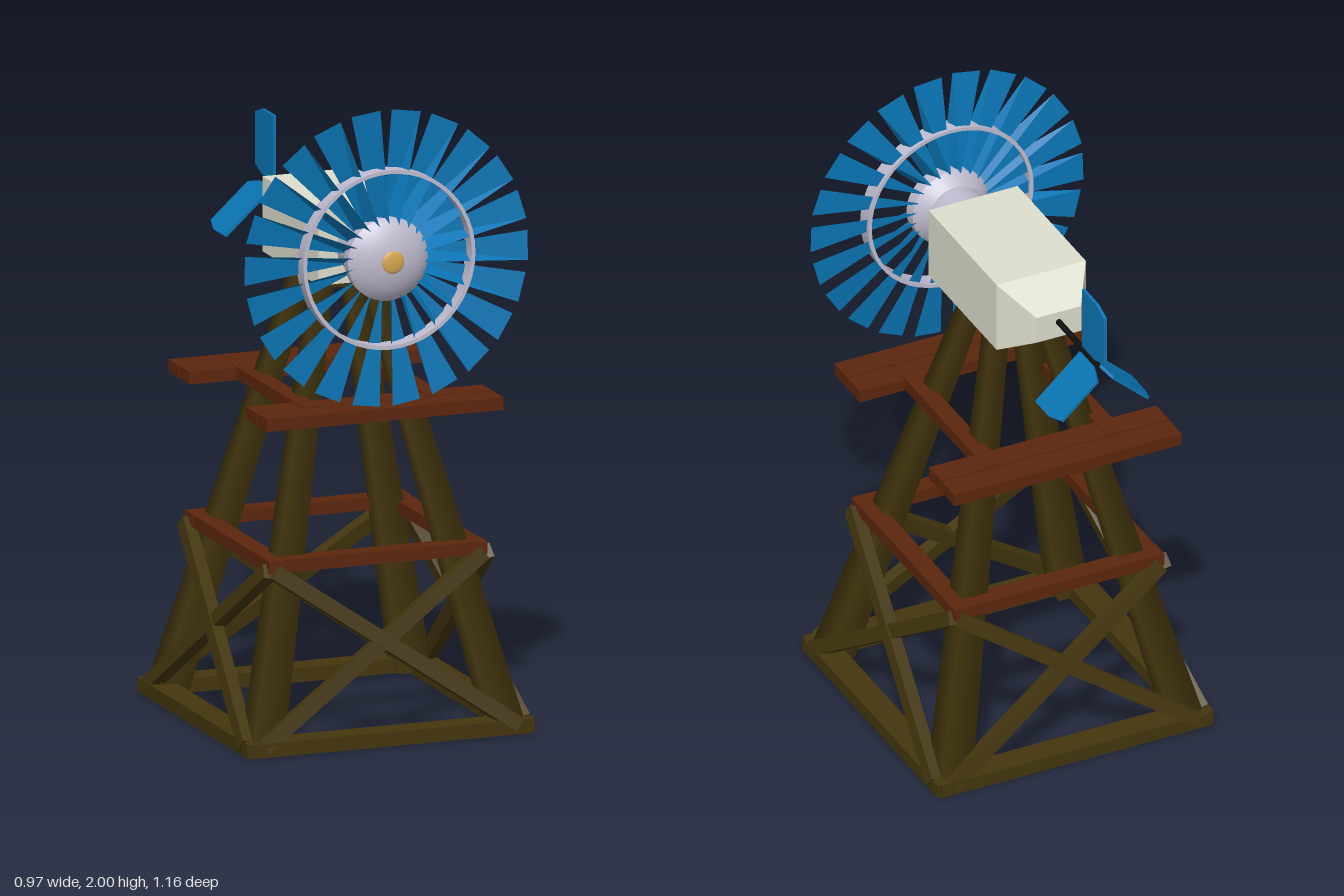
import * as THREE from 'three';
import { toCreasedNormals } from 'three/addons/utils/BufferGeometryUtils.js';

const mat = (color, extra = {}) => new THREE.MeshStandardMaterial({ color, ...extra });

const CZ = 0.095; // tower axis in z
const HUB_Y = 1.536;

export function createModel() {
  const flat = { flatShading: true };
  const timber = mat(0x43350d, flat);
  const legTimber = mat(0x43350d);
  const plank = mat(0x5c260d, flat);
  const blue = mat(0x0a76b6, { flatShading: true, side: THREE.DoubleSide });
  const cream = mat(0xdedfce, flat);
  const steel = mat(0xc0bcd0);
  const amber = mat(0xd8a850);
  const black = mat(0x101010);

  const model = new THREE.Group();
  model.name = 'windPump';

  const add = (parent, name, geometry, material, x = 0, y = 0, z = 0) => {
    const mesh = new THREE.Mesh(geometry, material);
    mesh.name = name;
    mesh.position.set(x, y, z);
    parent.add(mesh);
    return mesh;
  };
  const box = (parent, name, material, w, h, d, x, y, z) =>
    add(parent, name, new THREE.BoxGeometry(w, h, d), material, x, y, z);

  // Beam between two points, its depth facing out of the tower side
  const outward = new THREE.Vector3(0, 0.18, 1);
  const beam = (parent, name, a, b, width, depth) => {
    const A = new THREE.Vector3(...a), B = new THREE.Vector3(...b);
    const mesh = add(parent, name, new THREE.BoxGeometry(width, depth, A.distanceTo(B)), timber);
    mesh.position.copy(A).add(B).multiplyScalar(0.5);
    mesh.quaternion.setFromRotationMatrix(new THREE.Matrix4().lookAt(A, B, outward));
  };

  // Tapered square leg leaning towards the tower axis, softly shaded round its corners
  const leg = new THREE.CylinderGeometry(1, 1, 1, 4, 1, true).rotateY(Math.PI / 4);
  const lp = leg.attributes.position;
  for (let i = 0; i < lp.count; i++) {
    const top = lp.getY(i) > 0;
    const outer = top ? 0.113 : 0.455, inner = top ? 0.052 : 0.35;
    lp.setXYZ(i, lp.getX(i) > 0 ? outer : inner, top ? 1.39 : 0.01, lp.getZ(i) > 0 ? outer : inner);
  }

  // Tower: one leg, base beam and crossed braces per side
  const tower = new THREE.Group();
  tower.name = 'tower';
  tower.position.z = CZ;
  model.add(tower);
  for (let i = 0; i < 4; i++) {
    const side = new THREE.Group();
    side.name = 'towerSide';
    side.rotation.y = (i * Math.PI) / 2;
    tower.add(side);
    add(side, 'leg', leg, legTimber);
    box(side, 'baseBeam', timber, 0.93, 0.045, 0.085, 0, 0.027, 0.432);
    beam(side, 'brace', [-0.42, 0.032, 0.455], [0.345, 0.56, 0.355], 0.047, 0.04);
    beam(side, 'brace', [0.42, 0.032, 0.46], [-0.345, 0.56, 0.36], 0.047, 0.04);
  }
  box(tower, 'towerCap', timber, 0.22, 0.045, 0.22, 0, 1.4, 0);

  // Plank frames around the legs
  for (const s of [-1, 1]) {
    box(tower, 'lowerSidePlank', plank, 0.062, 0.04, 0.71, s * 0.327, 0.572, 0);
    box(tower, 'lowerCrossPlank', plank, 0.72, 0.04, 0.062, 0, 0.574, s * 0.325);
    box(tower, 'upperSidePlank', plank, 0.057, 0.04, 0.64, s * 0.207, 1.043, 0);
    box(tower, 'innerPlatformPlank', plank, 0.78, 0.04, 0.085, 0, 1.04, s * 0.28);
    box(tower, 'outerPlatformPlank', plank, 0.78, 0.04, 0.085, 0, 1.04, s * 0.372);
  }

  // Gearbox housing, its rear part narrowing to a small end face
  const housing = new THREE.BoxGeometry(0.306, 0.238, 2, 1, 1, 2);
  const hp = housing.attributes.position;
  for (let i = 0; i < hp.count; i++) {
    const z = hp.getZ(i);
    if (z < -0.5) hp.setXYZ(i, hp.getX(i) * 0.5, hp.getY(i) * 0.38, -0.26);
    else hp.setZ(i, z > 0.5 ? 0.33 : -0.14);
  }
  add(model, 'housing', housing, cream, 0.003, 1.54, 0);

  // Rotor shaft, flange and domed nose
  const profile = [[0.093, 0.32], [0.093, 0.45], [0.13, 0.485], [0.132, 0.525], [0.115, 0.541],
    [0.09, 0.555], [0.06, 0.565], [0.03, 0.571], [0, 0.572]];
  const hub = new THREE.LatheGeometry(profile.map(([r, z]) => new THREE.Vector2(r, z)), 32);
  add(model, 'hub', toCreasedNormals(hub.rotateX(Math.PI / 2), 0.5), steel, 0.003, HUB_Y, 0);
  const cap = new THREE.SphereGeometry(0.036, 20, 10).scale(1, 1, 0.2);
  add(model, 'noseCap', cap, amber, 0.003, HUB_Y, 0.57);

  // Ring band tying the blades together
  const band = [[0.272, -0.028], [0.284, -0.028], [0.284, 0.028], [0.272, 0.028], [0.272, -0.028]];
  const ring = new THREE.LatheGeometry(band.map(([r, z]) => new THREE.Vector2(r, z)), 48);
  add(model, 'bladeRing', toCreasedNormals(ring.rotateX(Math.PI / 2), 0.5), steel, 0.003, HUB_Y, 0.51);

  // Twisted blades: steep at the root, nearly flat at the tip
  const blade = new THREE.PlaneGeometry(1, 1);
  const bp = blade.attributes.position;
  for (let i = 0; i < bp.count; i++) {
    const tip = bp.getY(i) > 0, s = Math.sign(bp.getX(i));
    bp.setXYZ(i, s * (tip ? 0.047 : 0.015), tip ? 0.467 : 0.11, s * (tip ? 0.003 : 0.032));
  }
  const rotor = new THREE.Group();
  rotor.name = 'rotor';
  rotor.position.set(0.003, HUB_Y, 0.51);
  model.add(rotor);
  const BLADES = 22;
  for (let i = 0; i < BLADES; i++) {
    add(rotor, 'blade', blade, blue).rotation.z = ((i + 0.5) / BLADES) * Math.PI * 2;
  }

  // Tail rod and three fins
  const rod = new THREE.CylinderGeometry(0.01, 0.01, 0.28, 10).rotateX(Math.PI / 2);
  add(model, 'tailRod', rod, black, 0.003, 1.55, -0.39);
  const outline = new THREE.Shape([[0.43, 0.012], [0.52, 0.012], [0.583, 0.035], [0.583, 0.2],
    [0.525, 0.22], [0.43, 0.22]].map(([x, y]) => new THREE.Vector2(x, y)));
  const fin = new THREE.ExtrudeGeometry(outline, { depth: 0.01, bevelEnabled: false });
  fin.translate(0, 0, -0.005).rotateY(Math.PI / 2);
  for (const angle of [0, 2.31, -2.31]) {
    add(model, 'tailFin', fin, blue, 0.003, 1.55, 0).rotation.z = angle;
  }

  return model;
}
